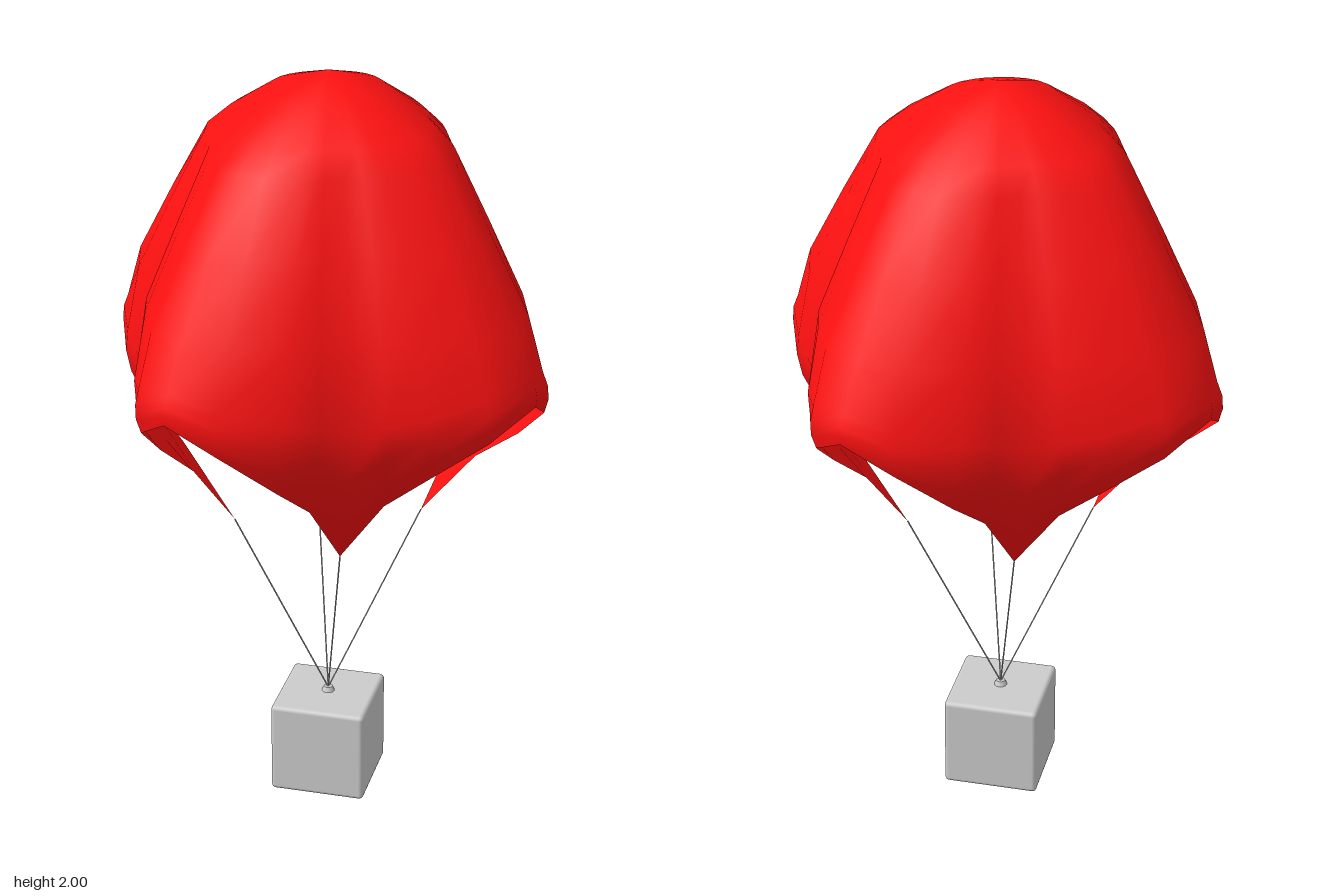
import * as THREE from 'three';
import { RoundedBoxGeometry } from 'three/addons/geometries/RoundedBoxGeometry.js';

// One quarter of the cloth hem, from one tied corner up over the arch to the next
const HEM = [
  [-0.23, 0.79, 0.09], [-0.30, 0.98, 0.22], [-0.345, 1.09, 0.345], [-0.345, 1.2, 0.49],
  [-0.255, 1.27, 0.585], [-0.125, 1.2, 0.585], [0, 1.08, 0.50], [0.05, 0.98, 0.38],
];
// The same quarter at the widest loop of the canopy
const BELLY = [
  [-0.44, 1.23, 0.175], [-0.435, 1.25, 0.25], [-0.41, 1.27, 0.34], [-0.352, 1.31, 0.48],
  [-0.25, 1.34, 0.572], [-0.125, 1.31, 0.578], [0.03, 1.27, 0.53], [0.105, 1.25, 0.485],
];
// Upper loops: height, scale of the belly loop, roundness
const UPPER = [
  [1.45, 0.93, 0.05], [1.64, 0.755, 0.15], [1.82, 0.58, 0.35], [1.875, 0.47, 0.5], [1.955, 0.26, 0.8],
];

// Repeat a quarter four times about the vertical axis
function fullLoop(quarter) {
  const loop = [];
  for (let k = 0; k < 4; k++) {
    for (const [x, y, z] of quarter) {
      const p = new THREE.Vector3(x, y, z);
      for (let i = 0; i < k; i++) p.set(p.z, p.y, -p.x);
      loop.push(p);
    }
  }
  return loop;
}

function canopyGeometry() {
  const hem = fullLoop(HEM), belly = fullLoop(BELLY), n = hem.length;
  const loops = [hem];
  // Flaps bulge outward between hem and belly, most at the tied corners
  for (const t of [0.35, 0.68]) {
    loops.push(hem.map((p, i) => {
      const q = p.clone().lerp(belly[i], t);
      const bulge = 1 + 0.22 * (belly[i].y - p.y) * Math.sin(Math.PI * t);
      return q.set(q.x * bulge, q.y, q.z * bulge);
    }));
  }
  loops.push(belly);
  for (const [y, s, round] of UPPER) {
    loops.push(belly.map((p) => {
      const r = Math.hypot(p.x, p.z);
      const k = s * THREE.MathUtils.lerp(1, 0.575 / r, round);
      return new THREE.Vector3(p.x * k, y, p.z * k);
    }));
  }
  const points = loops.flat();
  const apex = points.length;
  points.push(new THREE.Vector3(0, 2, 0));

  const index = [];
  for (let r = 0; r < loops.length; r++) {
    for (let i = 0; i < n; i++) {
      const a = r * n + i, b = r * n + (i + 1) % n;
      if (r === loops.length - 1) index.push(a, b, apex);
      else index.push(a, b, b + n, a, b + n, a + n);
    }
  }
  const geometry = new THREE.BufferGeometry().setFromPoints(points);
  geometry.setIndex(index);
  geometry.computeVertexNormals();
  return geometry;
}

export function createModel() {
  const model = new THREE.Group();
  const grey = new THREE.MeshStandardMaterial({ color: 0xcccccc });
  const red = new THREE.MeshStandardMaterial({ color: 0xff1111, side: THREE.DoubleSide });

  const add = (name, geometry, material) => {
    const mesh = new THREE.Mesh(geometry, material);
    mesh.name = name;
    model.add(mesh);
    return mesh;
  };

  add('canopy', canopyGeometry(), red);

  // Cargo box with softened edges
  add('crate', new RoundedBoxGeometry(0.256, 0.256, 0.256, 2, 0.012), grey).position.y = 0.131;
  model.getObjectByName('crate').position.y = 0.128 + 0.003;

  // Small fitting where the cords meet
  add('cordFitting', new THREE.CylinderGeometry(0.012, 0.018, 0.014, 12), grey).position.y = 0.265;

  // Four cords from the fitting to the cloth corners
  const knot = new THREE.Vector3(0, 0.268, 0);
  const corners = fullLoop([HEM[0]]);
  corners.forEach((corner, i) => {
    const cord = add(`cord${i + 1}`, new THREE.CylinderGeometry(0.002, 0.002, knot.distanceTo(corner), 6), grey);
    cord.position.copy(knot).lerp(corner, 0.5);
    cord.quaternion.setFromUnitVectors(new THREE.Vector3(0, 1, 0), corner.clone().sub(knot).normalize());
  });

  return model;
}
